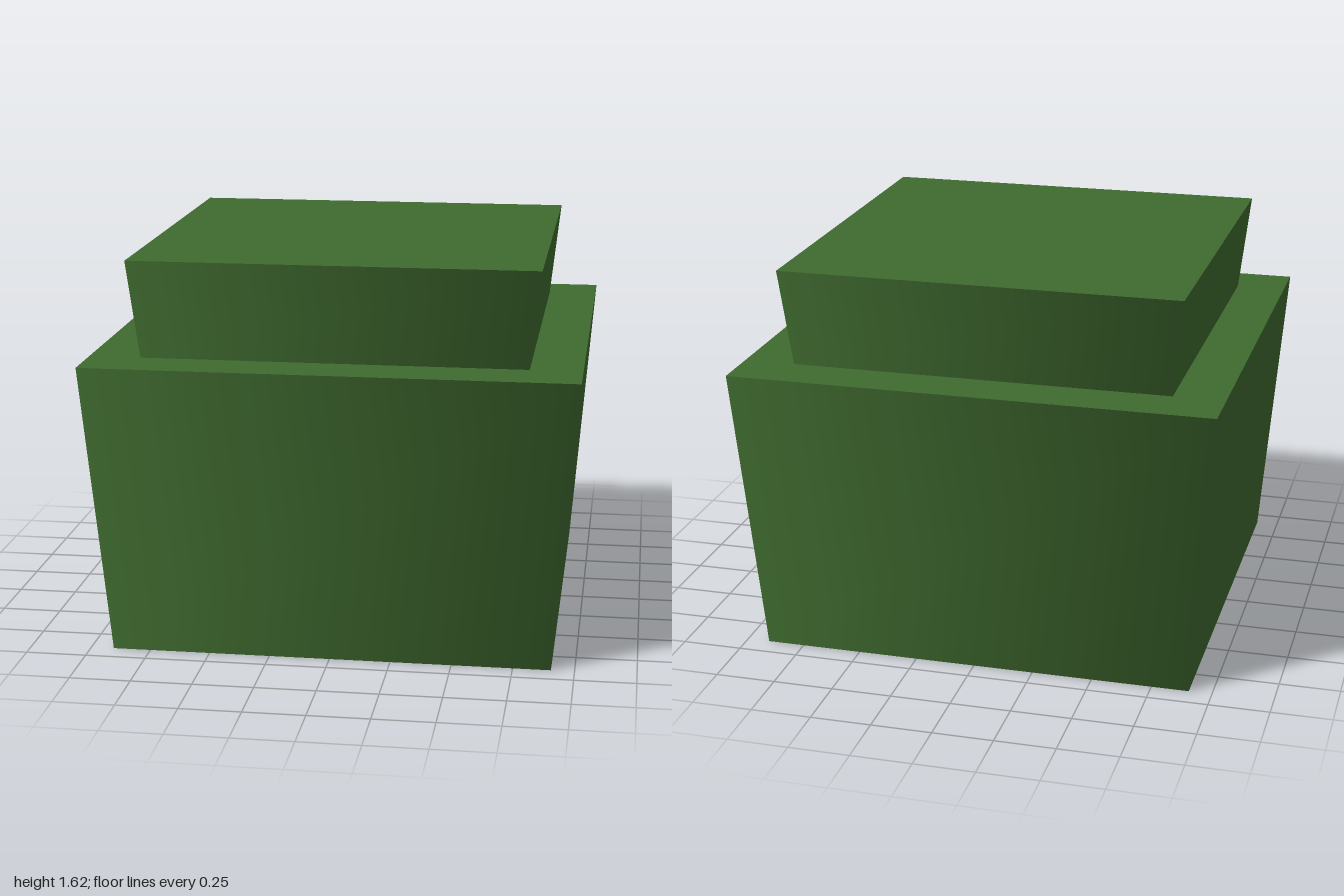
import * as THREE from 'three';

const leafGreen = new THREE.MeshStandardMaterial({ color: 0x3f6a2f });
leafGreen.name = 'leafGreen';

// Four-sided tapered block, smooth around its sides, given by half-widths
function taperedBlock(name, topHalf, bottomHalf, y0, y1) {
  const geometry = new THREE.CylinderGeometry(
    topHalf * Math.SQRT2, bottomHalf * Math.SQRT2, y1 - y0, 4);
  geometry.rotateY(Math.PI / 4);
  geometry.translate(0, (y0 + y1) / 2, 0);
  const mesh = new THREE.Mesh(geometry, leafGreen);
  mesh.name = name;
  return mesh;
}

export function createModel() {
  const model = new THREE.Group();
  model.name = 'steppedBlock';
  // Wide lower tier with a smaller tier on top, both flaring upwards
  model.add(taperedBlock('lowerTier', 1, 0.905, 0, 1.215));
  model.add(taperedBlock('upperTier', 0.832, 0.788, 1.215, 1.62));
  return model;
}
